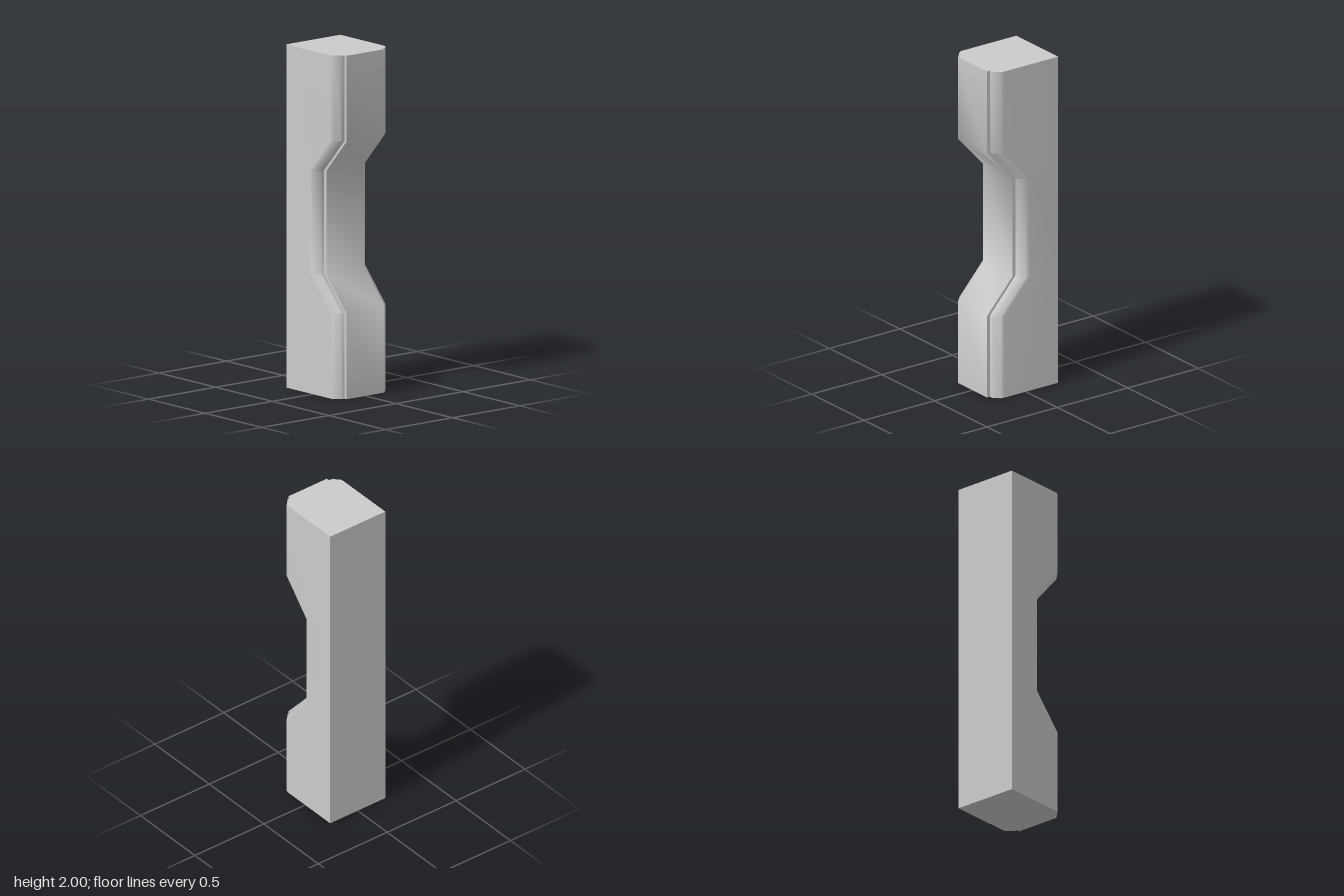
import * as THREE from 'three';
import { toCreasedNormals } from 'three/addons/utils/BufferGeometryUtils.js';

// Heights of the profile bends, and how far the grooved side is set back at each
const LEVELS = [0, 0.5, 0.7, 1.3, 1.5, 2];
const SETBACK = [0, 0, 0.18, 0.18, 0, 0];

// Half of the cross-section (x, depth): flat side, eased chamfer, small step, raised face
const HALF = [
  [-0.23, 0.2], [0.15, 0.2], [0.163, 0.199], [0.175, 0.195],
  [0.21, 0.16], [0.21, 0.14], [0.23, 0.14],
];

export function createModel() {
  const group = new THREE.Group();
  group.name = 'notchedPost';

  const mirrored = HALF.map(([x, d]) => [x, -d]);
  const outline = [...mirrored, ...HALF.slice().reverse()];
  const shape = new THREE.Shape(outline.map(([x, d]) => new THREE.Vector2(x, d)));

  // One extrusion step per level; the steps are then moved to their heights
  const steps = LEVELS.length - 1;
  const geometry = new THREE.ExtrudeGeometry(shape, { depth: steps, steps, bevelEnabled: false });
  geometry.rotateX(-Math.PI / 2);

  // Bend the chamfered side inward around the middle, leaving the back straight
  const pos = geometry.attributes.position;
  for (let i = 0; i < pos.count; i++) {
    const level = Math.round(pos.getY(i));
    pos.setY(i, LEVELS[level]);
    if (pos.getX(i) > 0) pos.setX(i, pos.getX(i) - SETBACK[level]);
  }

  const post = new THREE.Mesh(
    toCreasedNormals(geometry, THREE.MathUtils.degToRad(52)),
    new THREE.MeshStandardMaterial({ color: 0xcccccc }),
  );
  post.name = 'post';
  group.add(post);
  return group;
}
